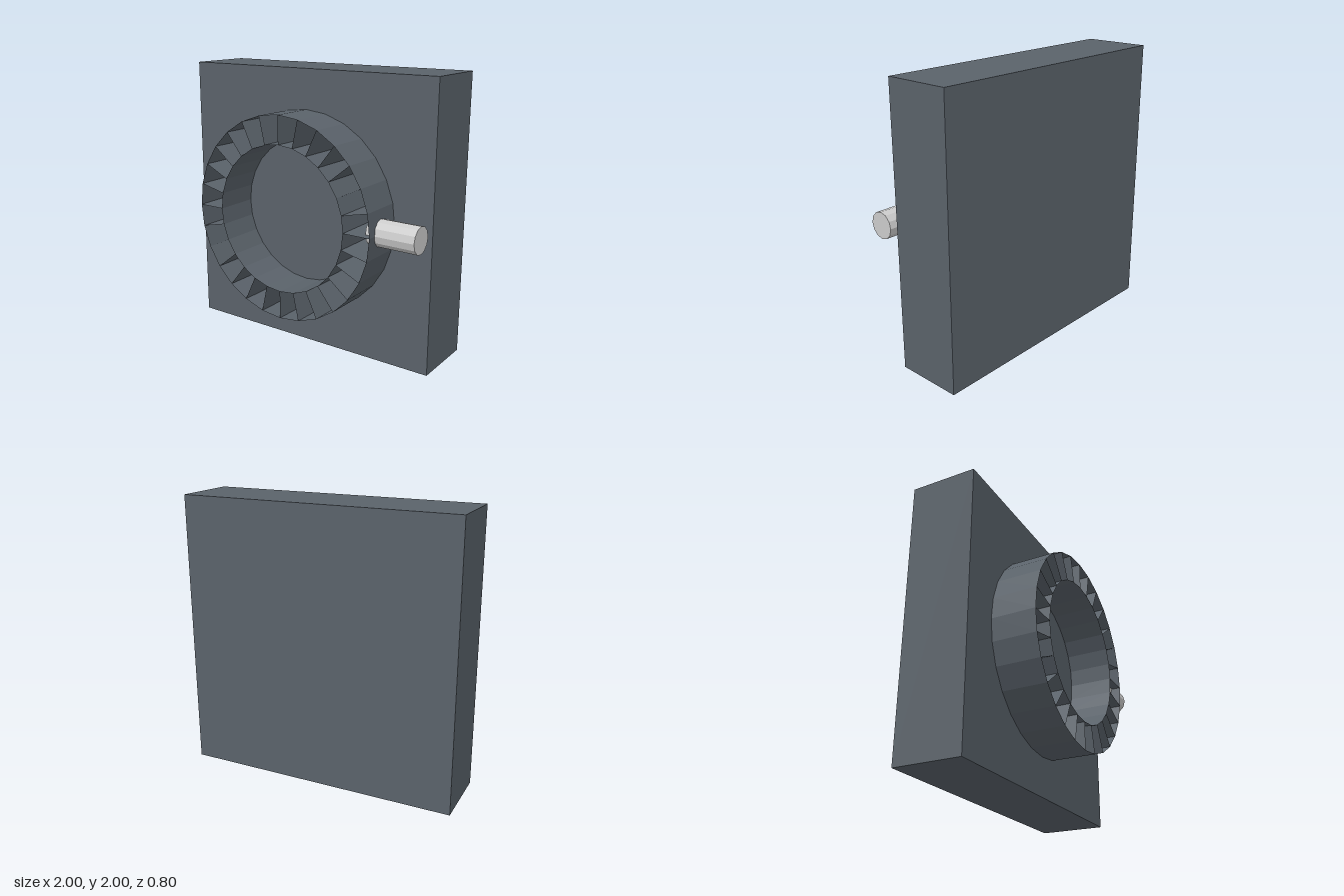
import * as THREE from 'three';
import { mergeGeometries } from 'three/addons/utils/BufferGeometryUtils.js';

const SIDES = 28, OUTER = 0.72, INNER = 0.52, DEPTH = 0.32;

export function createModel() {
  const group = new THREE.Group();
  const dark = new THREE.MeshStandardMaterial({ color: 0x5a626a, flatShading: true });
  const darkOpen = new THREE.MeshStandardMaterial({ color: 0x5a626a, flatShading: true, side: THREE.DoubleSide });
  const light = new THREE.MeshStandardMaterial({ color: 0xcccccc, flatShading: true });

  const add = (name, geometry, material, x, y, z) => {
    const mesh = new THREE.Mesh(geometry, material);
    mesh.name = name;
    mesh.position.set(x, y, z);
    group.add(mesh);
  };

  // Square base block
  add('backPlate', new THREE.BoxGeometry(2, 2, 0.48), dark, 0, 1, -0.16);

  // Two open, concentric walls standing on the plate
  const wall = (r) => new THREE.CylinderGeometry(r, r, DEPTH, SIDES, 1, true).rotateX(Math.PI / 2);
  add('outerRingWall', wall(OUTER), darkOpen, 0, 1, 0.24);
  add('innerRingWall', wall(INNER), darkOpen, 0, 1, 0.24);

  // Thin radial fins dividing the ring into open cells
  const fins = [];
  for (let i = 0; i < SIDES; i++) {
    fins.push(new THREE.PlaneGeometry(OUTER - INNER, DEPTH)
      .rotateX(Math.PI / 2)
      .translate((OUTER + INNER) / 2, 0, 0)
      .rotateZ((i / SIDES) * Math.PI * 2));
  }
  add('ringFins', mergeGeometries(fins), darkOpen, 0, 1, 0.24);

  // Pin sticking out of the ring on the model's left
  const pin = new THREE.CylinderGeometry(0.094, 0.094, 0.35, 12).rotateZ(-Math.PI / 2);
  add('sidePin', pin, light, 0.825, 1, 0.24);

  return group;
}
